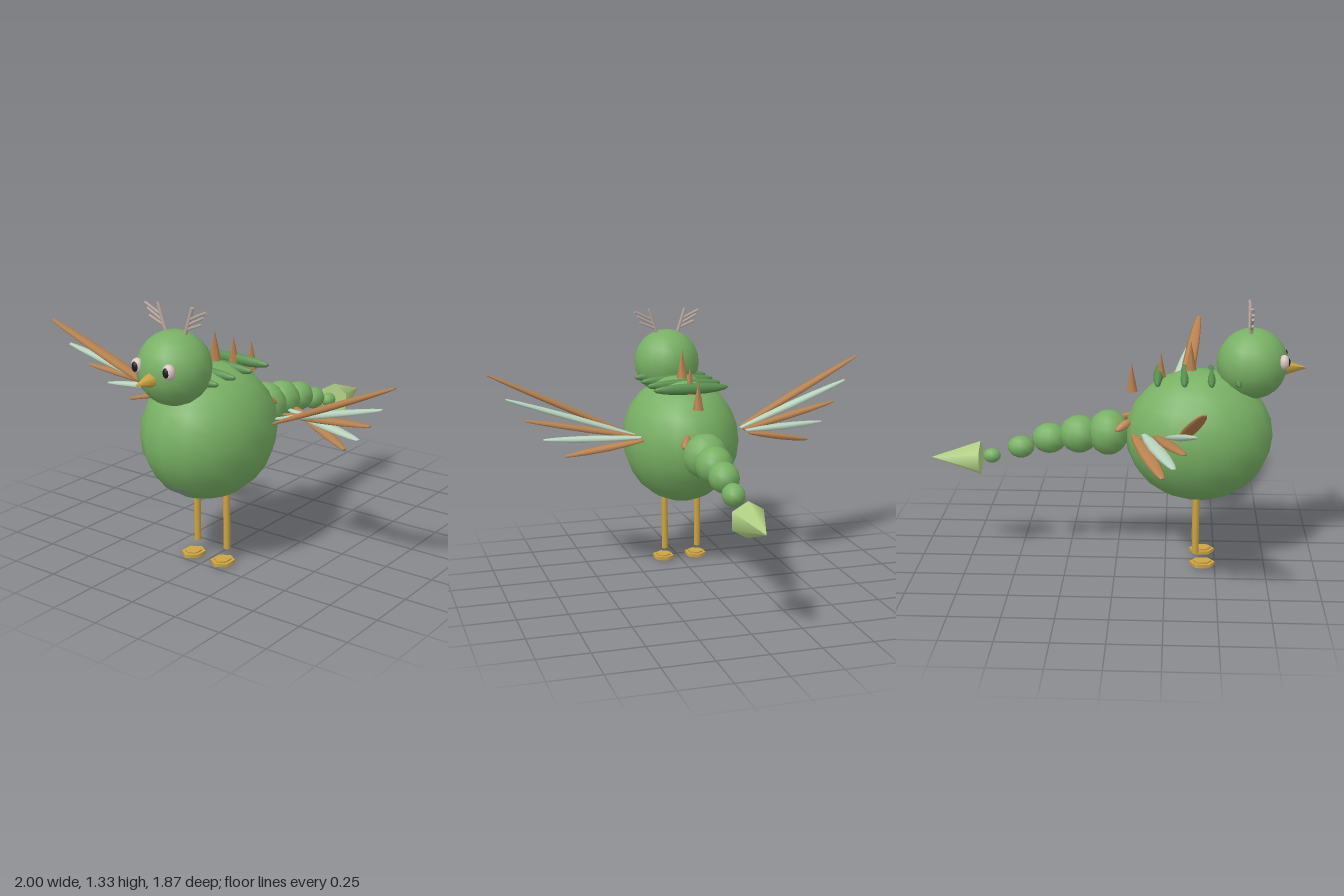
import * as THREE from 'three';

const mat = (name, color) => {
  const m = new THREE.MeshStandardMaterial({ color });
  m.name = name;
  return m;
};

export function createModel() {
  const root = new THREE.Group();
  root.name = 'wingedCreature';

  const green = mat('leafGreen', 0x78b064);
  const darkGreen = mat('scaleGreen', 0x5a9150);
  const brown = mat('featherBrown', 0xb8814f);
  const mint = mat('featherMint', 0xb8d4bf);
  const gold = mat('gold', 0xcda443);
  const lime = mat('tailTipGreen', 0xb2d184);
  const bone = mat('antlerBone', 0xb9a79f);
  const white = mat('eyeWhite', 0xdcc4c4);
  const black = mat('pupilBlack', 0x1c1a1e);
  const grey = mat('bellyGrey', 0x8f9a94);

  const add = (name, geo, material, pos = [0, 0, 0], parent = root) => {
    const mesh = new THREE.Mesh(geo, material);
    mesh.name = name;
    mesh.position.set(...pos);
    parent.add(mesh);
    return mesh;
  };
  const ellipsoid = (rx, ry, rz, w = 16, h = 12) =>
    new THREE.SphereGeometry(1, w, h).scale(rx, ry, rz);

  // Straight rod between two points
  const rod = (name, a, b, r, material, parent) => {
    const va = new THREE.Vector3(...a), vb = new THREE.Vector3(...b);
    const d = vb.clone().sub(va);
    const m = add(name, new THREE.CylinderGeometry(r, r, d.length(), 6), material, [0, 0, 0], parent);
    m.position.copy(va).add(vb).multiplyScalar(0.5);
    m.quaternion.setFromUnitVectors(new THREE.Vector3(0, 1, 0), d.normalize());
  };

  // Flat tapered feather between two points, broad side facing up
  const profile = [[0, -0.5], [0.4, -0.5], [0.8, -0.3], [1, -0.05], [0.88, 0.2], [0.6, 0.4], [0.3, 0.5], [0, 0.5]]
    .map(([x, y]) => new THREE.Vector2(x, y));
  const feather = (name, a, b, halfWidth, halfThick, material, parent) => {
    const va = new THREE.Vector3(...a), vb = new THREE.Vector3(...b);
    const dir = vb.clone().sub(va);
    const geo = new THREE.LatheGeometry(profile, 8).scale(halfThick, dir.length(), halfWidth);
    dir.normalize();
    const thick = new THREE.Vector3().crossVectors(dir, new THREE.Vector3(0, 0, 1)).normalize();
    const wide = new THREE.Vector3().crossVectors(thick, dir);
    const m = add(name, geo, material, [0, 0, 0], parent);
    m.quaternion.setFromRotationMatrix(new THREE.Matrix4().makeBasis(thick, dir, wide));
    m.position.copy(va).add(vb).multiplyScalar(0.5);
  };

  // Body, head, beak
  add('body', ellipsoid(0.302, 0.332, 0.367), green, [0, 0.67, 0.41]);
  add('head', ellipsoid(0.175, 0.175, 0.175), green, [0, 1.037, 0.665]);
  add('beak', new THREE.ConeGeometry(0.038, 0.115, 6).rotateX(Math.PI / 2), gold, [0, 1.018, 0.88]);

  // Small belly patch following the body
  add('bellyPatch',
    new THREE.SphereGeometry(1, 8, 3, Math.PI / 2 - 0.3, 0.6, 2.25, 0.14).scale(0.303, 0.333, 0.371),
    grey, [0, 0.67, 0.41]);

  // Tail: shrinking beads and a hexagonal point
  const beads = [ // y, z, height radius, length radius
    [0.675, -0.04, 0.114, 0.105], [0.664, -0.187, 0.095, 0.1], [0.64, -0.337, 0.076, 0.089],
    [0.592, -0.482, 0.056, 0.068], [0.543, -0.63, 0.037, 0.045],
  ];
  beads.forEach(([y, z, r, rz], i) =>
    add(`tailBead${i + 1}`, ellipsoid(r, r, rz, 12, 8), green, [0, y, z]));
  add('tailTip', new THREE.ConeGeometry(0.088, 0.25, 6).rotateX(-Math.PI / 2), lime, [0, 0.53, -0.812]);

  // Spikes along the spine
  [[1.0, 0.364], [0.94, 0.218], [0.887, 0.074]].forEach(([y, z], i) =>
    add(`spineSpike${i + 1}`, new THREE.ConeGeometry(0.03, 0.145, 5), brown, [0, y + 0.072, z]));

  // Long scales lying across the back
  for (let i = 0; i < 4; i++) {
    const geo = new THREE.SphereGeometry(1, 8, 8).rotateZ(Math.PI / 2).scale(0.2, 0.03, 0.024);
    add(`backScale${i + 1}`, geo, darkGreen, [0, 0.97, 0.205 + i * 0.13]);
  }

  // Mirrored parts
  const roots = [[0.31, 0.735, 0.32], [0.285, 0.737, 0.26], [0.285, 0.742, 0.2], [0.28, 0.748, 0.145], [0.28, 0.745, 0.095]];
  const tips = [[1, 1.057, 0.415], [0.92, 0.935, 0.38], [0.835, 0.83, 0.335], [0.75, 0.735, 0.29], [0.65, 0.655, 0.24]];
  for (const s of [1, -1]) {
    const side = s > 0 ? 'left' : 'right';
    const at = ([x, y, z]) => [s * x, y, z];

    const wing = new THREE.Group();
    wing.name = `${side}Wing`;
    root.add(wing);
    roots.forEach((r, i) =>
      feather(`wingFeather${i + 1}`, at(r), at(tips[i]), 0.037, 0.016, i % 2 ? mint : brown, wing));
    feather(`${side}TailFeather`, at([0.055, 0.755, 0.075]), at([0.1, 0.71, 0]), 0.024, 0.018, brown, root);

    // Eye
    add(`${side}Eye`, ellipsoid(0.031, 0.037, 0.026), white, at([0.091, 1.065, 0.813]));
    add(`${side}Pupil`, ellipsoid(0.021, 0.027, 0.02), black, at([0.09, 1.065, 0.823]));

    // Antler with three tines
    const antler = new THREE.Group();
    antler.name = `${side}Antler`;
    root.add(antler);
    const z = 0.652;
    rod('beam', at([0.055, 1.19, z]), at([0.1, 1.325, z]), 0.009, bone, antler);
    rod('upperTine', at([0.085, 1.27, z]), at([0.175, 1.313, z]), 0.007, bone, antler);
    rod('middleTine', at([0.078, 1.245, z]), at([0.162, 1.288, z]), 0.007, bone, antler);
    rod('lowerTine', at([0.068, 1.222, z]), at([0.15, 1.255, z]), 0.007, bone, antler);

    // Leg and detached hexagonal foot
    add(`${side}Leg`, new THREE.CylinderGeometry(0.017, 0.017, 0.34, 8), gold, at([0.09, 0.242, 0.402]));
    add(`${side}Foot`, new THREE.CylinderGeometry(1, 1, 0.016, 6).scale(0.057, 1, 0.065), gold, at([0.09, 0.016, 0.437]));
    add(`${side}FootPad`, new THREE.CylinderGeometry(1, 1, 0.031, 6).scale(0.04, 1, 0.046), gold, at([0.09, 0.016, 0.437]));
  }
  return root;
}
